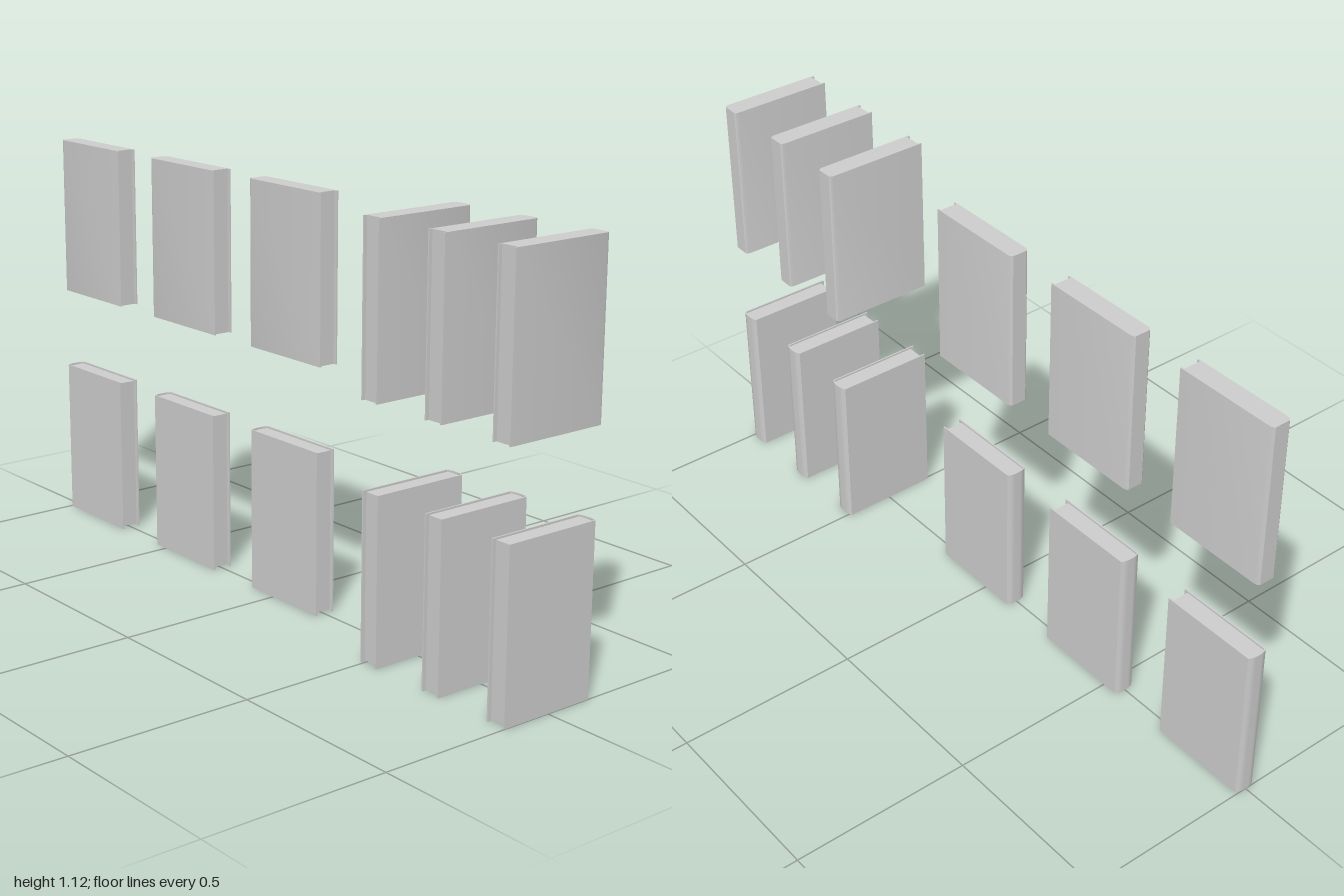
import * as THREE from 'three';
import { toCreasedNormals } from 'three/addons/utils/BufferGeometryUtils.js';

const material = new THREE.MeshStandardMaterial({ color: 0xcccccc });

// Extrude a plan outline (spine towards +x) upwards from y0
function upright(shape, y0, height) {
  const g = new THREE.ExtrudeGeometry(shape, { depth: height, bevelEnabled: false, curveSegments: 10 });
  g.rotateX(-Math.PI / 2).translate(0, y0, 0);
  return toCreasedNormals(g, 0.5);
}

function part(name, geometry) {
  const mesh = new THREE.Mesh(geometry, material);
  mesh.name = name;
  return mesh;
}

const H = 0.447;

// Solid book: chamfered spine, recessed fore edge, flush top
function solidBookGeometry() {
  const t = 0.028, c = 0.004, fore = -0.148, spine = 0.147, recess = 0.009;
  return upright(new THREE.Shape([
    [fore, -t], [spine - 0.011, -t], [spine - 0.003, -t + 0.003], [spine, -t + 0.007],
    [spine, t - 0.007], [spine - 0.003, t - 0.003], [spine - 0.011, t], [fore, t],
    [fore, t - c], [fore + recess, t - c], [fore + recess, c - t], [fore, c - t],
  ].map(([x, y]) => new THREE.Vector2(x, y))), 0, H);
}

// Wrapped cover: two boards joined by a softly rounded spine
function coverGeometry() {
  const t = 0.029, c = 0.004, fore = -0.141, edge = 0.135;
  const s = new THREE.Shape();
  s.moveTo(fore, -t);
  s.lineTo(edge, -t);
  s.bezierCurveTo(edge + 0.01, -t + 0.007, edge + 0.01, t - 0.007, edge, t);
  s.lineTo(fore, t);
  s.lineTo(fore, t - c);
  s.lineTo(edge - 0.001, t - c);
  s.bezierCurveTo(edge + 0.005, t - 0.011, edge + 0.005, 0.011 - t, edge - 0.001, c - t);
  s.lineTo(fore, c - t);
  return upright(s, 0, H);
}

// Page block: inset at top, bottom and fore edge
function pagesGeometry() {
  const t = 0.0255, fore = -0.131, edge = 0.134, inset = 0.005;
  const s = new THREE.Shape();
  s.moveTo(fore, -t);
  s.lineTo(edge, -t);
  s.bezierCurveTo(edge + 0.006, 0.011 - t, edge + 0.006, t - 0.011, edge, t);
  s.lineTo(fore, t);
  return upright(s, inset, H - 2 * inset);
}

export function createModel() {
  const model = new THREE.Group();
  model.name = 'books';
  const solid = solidBookGeometry(), cover = coverGeometry(), pages = pagesGeometry();

  const upperBook = () => part('solidBook', solid);
  const lowerBook = () => {
    const book = new THREE.Group();
    book.name = 'hardcoverBook';
    book.add(part('cover', cover), part('pages', pages));
    return book;
  };

  // Each row: three books facing front, then three turned with spines to the back
  const rows = [
    { make: lowerBook, y: 0, turned: [0.042, -0.407, -0.858] },
    { make: upperBook, y: 0.675, turned: [0.045, -0.402, -0.853] },
  ];
  for (const { make, y, turned } of rows) {
    for (const z of [0.971, 0.747, 0.522]) {
      const book = make();
      book.position.set(0, y, z);
      model.add(book);
    }
    for (const z of turned) {
      const book = make();
      book.position.set(0, y, z);
      book.rotation.y = Math.PI / 2;
      model.add(book);
    }
  }
  return model;
}
